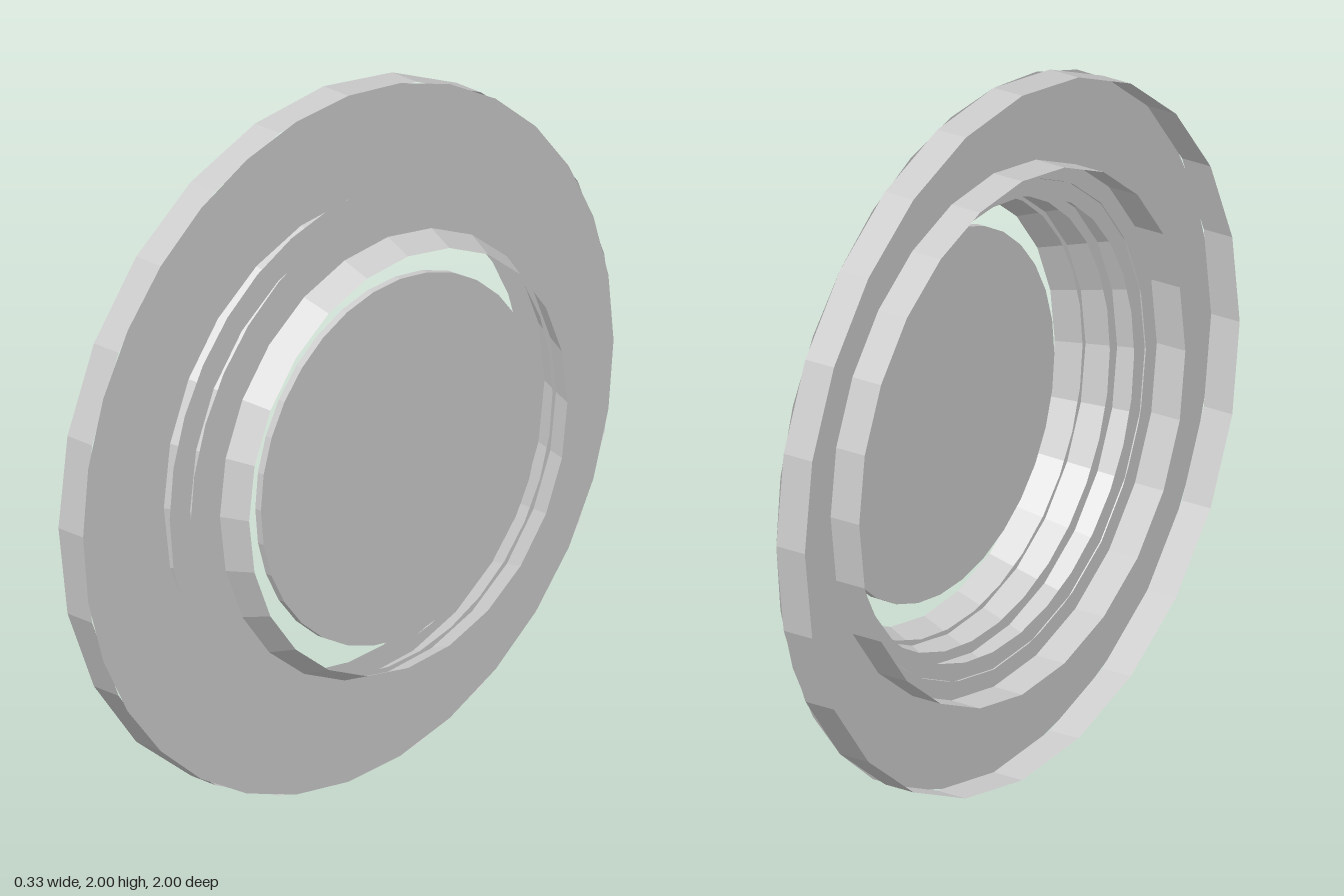
import * as THREE from 'three';

const material = new THREE.MeshStandardMaterial({
  color: 0xcccccc,
  flatShading: true,
  side: THREE.DoubleSide,
});

export function createModel() {
  const model = new THREE.Group();
  model.name = 'flangedRing';

  const add = (name, geometry) => {
    geometry.translate(0, 1, 0);
    const mesh = new THREE.Mesh(geometry, material);
    mesh.name = name;
    model.add(mesh);
  };

  // Wall around the x axis, from radius r0 at x0 to radius r1 at x1
  const wall = (name, x0, r0, x1, r1, sides = 24, open = true) =>
    add(name, new THREE.CylinderGeometry(r1, r0, x1 - x0, sides, 1, open)
      .rotateZ(-Math.PI / 2).translate((x0 + x1) / 2, 0, 0));

  // Thin flat ring facing +x
  const ring = (name, x, inner, outer) =>
    add(name, new THREE.RingGeometry(inner, outer, 32, 1)
      .rotateY(Math.PI / 2).translate(x, 0, 0));

  const back = -0.163, face = -0.068, front = 0.163;

  // Flange: flat face with outer and inner walls, open at the back
  ring('flangeFace', face, 0.7, 1);
  wall('flangeOuterRim', back, 1, face, 1);
  wall('flangeInnerWall', back, 0.75, face, 0.75);

  // Tapered collar
  wall('collar', face, 0.7, front, 0.6);

  // Flat fins stacked along the collar
  ring('baseFin', face + 0.003, 0.65, 0.775);
  ring('middleFin', 0.005, 0.635, 0.745);
  ring('frontFin', 0.085, 0.62, 0.745);

  // Central disc
  wall('centreDisc', 0.11, 0.525, 0.132, 0.525, 32, false);

  return model;
}
